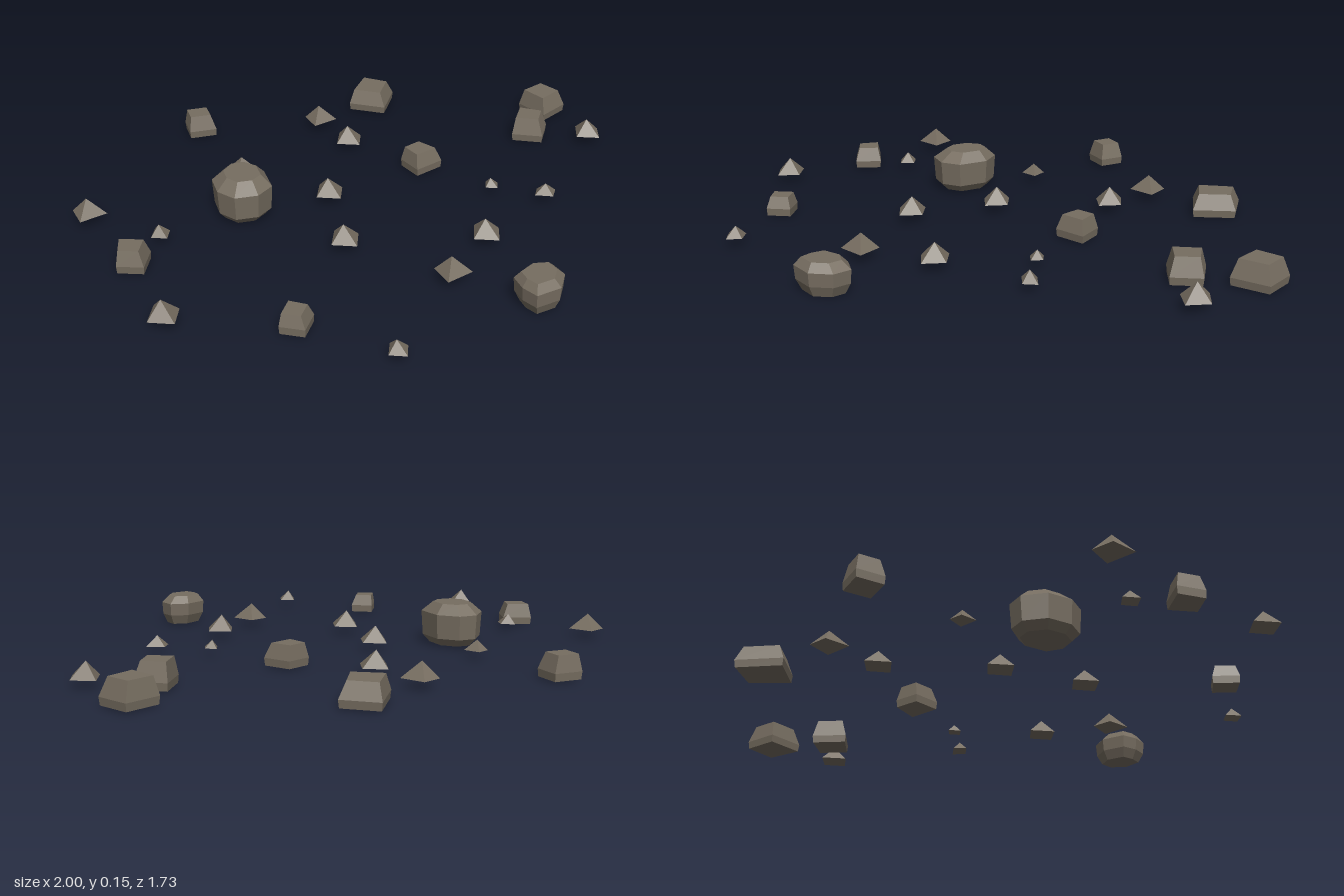
import * as THREE from 'three';

const stone = new THREE.MeshStandardMaterial({ color: 0x766d60, flatShading: true });
stone.name = 'stone';

// Lofts a faceted stone: outline is [x, z] corners (clockwise from above),
// layers are [y, scale, shiftX, shiftZ] from bottom to top; scale 0 makes a point.
function loft(outline, layers) {
  const pos = [];
  const tri = (...pts) => pts.forEach((p) => pos.push(...p));
  const rings = layers.map(([y, s, dx = 0, dz = 0]) =>
    outline.map(([x, z]) => [x * s + dx, y, z * s + dz]));
  const n = outline.length;
  const centre = (ring) => [0, 1, 2].map((k) => ring.reduce((a, p) => a + p[k], 0) / n);
  const last = layers.length - 1;
  for (let i = 0; i < n; i++) {
    const j = (i + 1) % n;
    for (let k = 0; k < last; k++) {
      const a = rings[k], b = rings[k + 1];
      tri(a[j], a[i], b[i]);
      if (layers[k + 1][1] > 0) tri(a[j], b[i], b[j]);
    }
    tri(centre(rings[0]), rings[0][i], rings[0][j]);
    if (layers[last][1] > 0) tri(centre(rings[last]), rings[last][j], rings[last][i]);
  }
  const geo = new THREE.BufferGeometry();
  geo.setAttribute('position', new THREE.Float32BufferAttribute(pos, 3));
  geo.computeVertexNormals();
  return geo;
}

export function createModel() {
  const group = new THREE.Group();
  group.name = 'scatteredRocks';

  const place = (name, x, z, geo) => {
    const mesh = new THREE.Mesh(geo, stone);
    mesh.name = name;
    mesh.position.set(x, 0, z);
    group.add(mesh);
  };

  // Pointed pebbles, turned as diamonds: [x, z, size]
  const diamond = [[0, -0.062], [0.056, -0.002], [0.008, 0.062], [-0.056, 0.008]];
  [
    [0.13, -0.395, 1], [-0.145, -0.1, 1], [0.9, 0.068, 1], [-0.945, 0.24, 1],
    [-0.27, 0.188, 1], [0.13, 0.42, 1], [-0.748, -0.18, 0.64], [0.348, 0.18, 0.5],
    [-0.473, 0.773, 0.66],
  ].forEach(([x, z, s], i) => {
    const base = diamond.map(([a, b]) => [a * s, b * s]);
    place('pointedPebble' + (i + 1), x, z, loft(base, [[0.03, 1], [0.03 + 0.054 * s, 0, -0.002, -0.003]]));
  });
  place('flatPebble', 0.467, 0.327,
    loft([[-0.005, -0.037], [0.043, 0.005], [0.005, 0.037], [-0.041, -0.005]], [[0.03, 1], [0.066, 0]]));

  // Pointed pebbles with a squarer base: [x, z, size]
  const square = [[-0.036, -0.042], [0.036, -0.047], [0.052, 0.042], [-0.047, 0.047]];
  [[0.133, -0.605, 1], [-0.888, -0.443, 1], [-0.1, 0.535, 1], [-0.3, -0.437, 0.66]].forEach(([x, z, s], i) => {
    const base = square.map(([a, b]) => [a * s, b * s]);
    place('squarePebble' + (i + 1), x, z, loft(base, [[0.03, 1], [0.03 + 0.054 * s, 0]]));
  });

  // Flat-topped blocks: [x, z, height, corners]
  [
    [0.405, -0.64, 0.083, [[0.03, -0.11], [0.1, 0], [-0.01, 0.1], [-0.1, -0.01]]],
    [0.74, -0.08, 0.092, [[0.015, -0.08], [0.08, 0.01], [0, 0.08], [-0.08, 0]]],
    [0.92, -0.21, 0.09, [[-0.065, -0.06], [0.06, -0.075], [0.075, 0.045], [-0.055, 0.075]]],
    [-0.27, -0.81, 0.085, [[-0.035, -0.06], [0.06, -0.03], [0.035, 0.06], [-0.06, 0.03]]],
    [-0.885, -0.095, 0.08, [[-0.02, -0.07], [0.065, -0.005], [0.005, 0.07], [-0.065, 0.015]]],
    [0.255, -0.11, 0.08, [[-0.055, -0.045], [0.035, -0.055], [0.06, 0.045], [-0.055, 0.055]]],
    [-0.635, 0.485, 0.07, [[0.01, -0.06], [0.06, 0.005], [-0.005, 0.06], [-0.06, 0]]],
  ].forEach(([x, z, h, corners], i) => {
    place('block' + (i + 1), x, z,
      loft(corners, [[0.004, 0.96], [0.03, 1], [h, 0.74, -0.003, -0.004]]));
  });

  // Large boulder
  place('largeBoulder', -0.43, -0.2, loft(
    [[0, -0.115], [0.064, -0.096], [0.1, -0.02], [0.07, 0.085], [0, 0.115], [-0.075, 0.088], [-0.1, 0.015], [-0.075, -0.07]],
    [[0.003, 0.72], [0.03, 0.95], [0.115, 1], [0.15, 0.62, 0.005, -0.003]]));

  // Medium boulder
  place('mediumBoulder', 0.05, 0.785, loft(
    [[-0.065, -0.055], [0.02, -0.075], [0.08, -0.043], [0.075, 0.02], [0.016, 0.07], [-0.072, 0.062], [-0.08, 0.003]],
    [[0, 0.75], [0.035, 0.96], [0.08, 1], [0.106, 0.7, -0.006, 0]]));

  return group;
}
